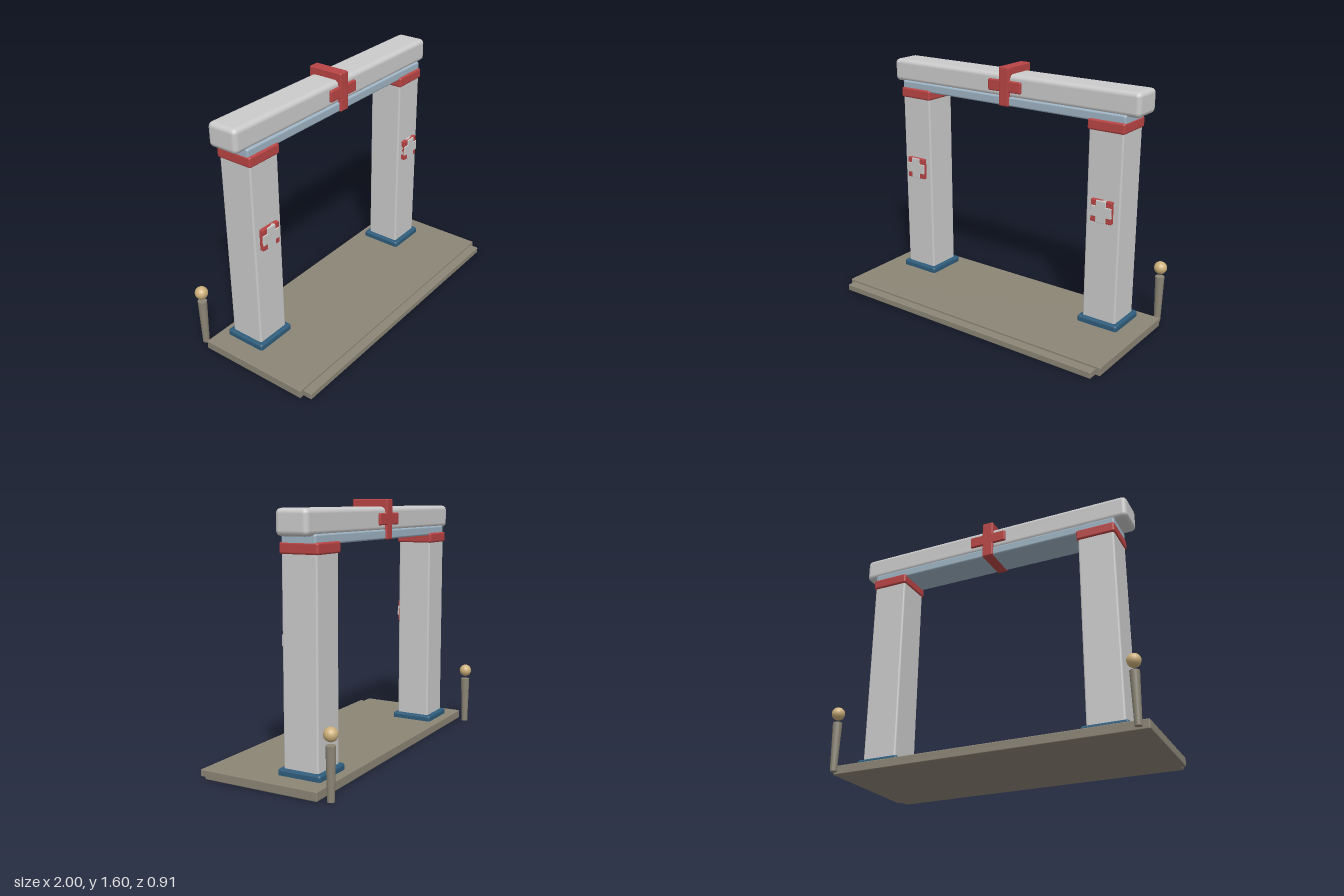
import * as THREE from 'three';
import { RoundedBoxGeometry } from 'three/addons/geometries/RoundedBoxGeometry.js';

const paint = (color) => new THREE.MeshStandardMaterial({ color });
const stone = paint(0xcccccc);
const paving = paint(0x8c8576);
const red = paint(0xb94444);
const blue = paint(0x2f5d7c);
const paleBlue = paint(0x9fb4c4);
const gold = paint(0xcdb07c);

// Softened box given by its extents along x, y and z
function block(name, material, [x0, x1], [y0, y1], [z0, z1], radius = 0.006) {
  const geometry = new RoundedBoxGeometry(x1 - x0, y1 - y0, z1 - z0, 2, radius);
  const mesh = new THREE.Mesh(geometry, material);
  mesh.name = name;
  mesh.position.set((x0 + x1) / 2, (y0 + y1) / 2, (z0 + z1) / 2);
  return mesh;
}

// Base, shaft, capital and front emblem, centred on x = 0
function createPillar() {
  const pillar = new THREE.Group();
  pillar.add(
    block('pillarBase', blue, [-0.14, 0.14], [0.03, 0.1], [-0.297, -0.015], 0.015),
    block('pillarShaft', stone, [-0.115, 0.115], [0.05, 1.32], [-0.27, -0.041], 0.012),
    block('pillarCapital', red, [-0.123, 0.123], [1.304, 1.37], [-0.281, -0.031], 0.012),
    block('emblemPlate', red, [-0.071, 0.071], [0.75, 0.89], [-0.05, -0.016], 0.004),
    block('emblemUpright', stone, [-0.034, 0.034], [0.75, 0.89], [-0.045, -0.01], 0.004),
    block('emblemCrossbar', stone, [-0.071, 0.071], [0.786, 0.854], [-0.045, -0.01], 0.004)
  );
  return pillar;
}

// Tapered post topped by a ball
function createBollard() {
  const bollard = new THREE.Group();
  const post = new THREE.Mesh(new THREE.CylinderGeometry(0.029, 0.021, 0.31, 16), paving);
  post.name = 'bollardPost';
  post.position.y = 0.16;
  const ball = new THREE.Mesh(new THREE.SphereGeometry(0.041, 24, 16), gold);
  ball.name = 'bollardBall';
  ball.position.y = 0.375;
  bollard.add(post, ball);
  return bollard;
}

export function createModel() {
  const model = new THREE.Group();
  model.name = 'gateway';

  // Ground slab with a lower step in front
  model.add(
    block('platform', paving, [-1, 1], [0.005, 0.062], [-0.355, 0.398]),
    block('frontStep', paving, [-0.97, 0.97], [0.005, 0.048], [0.35, 0.455])
  );

  // Matching pillar and bollard on each side
  for (const [side, label] of [[1, 'left'], [-1, 'right']]) {
    const pillar = createPillar();
    pillar.name = label + 'Pillar';
    pillar.position.x = side * 0.73;
    const bollard = createBollard();
    bollard.name = label + 'Bollard';
    bollard.position.set(side * 0.953, 0, -0.415);
    model.add(pillar, bollard);
  }

  // Lintel and the rounded beam above it
  model.add(
    block('lintel', paleBlue, [-0.85, 0.85], [1.355, 1.415], [-0.266, -0.045], 0.012),
    block('topBeam', stone, [-0.93, 0.93], [1.403, 1.553], [-0.262, -0.055], 0.03)
  );

  // Band around the beam, with short arms that form a cross on front and back
  model.add(
    block('crossBand', red, [-0.037, 0.037], [1.353, 1.6], [-0.276, -0.035], 0.008),
    block('crossArms', red, [-0.123, 0.123], [1.442, 1.515], [-0.276, -0.038], 0.008)
  );

  return model;
}
